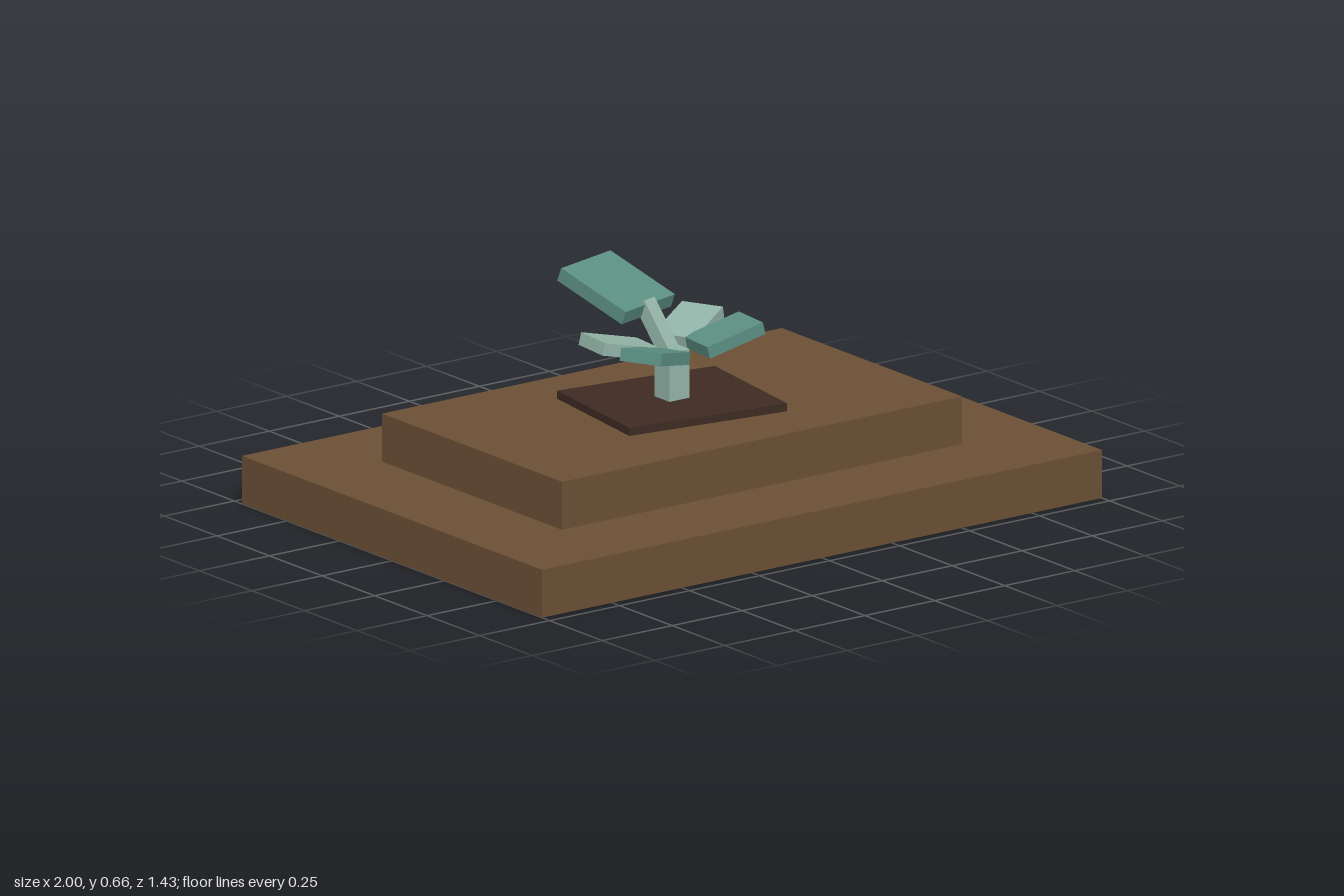
import * as THREE from 'three';

export function createModel() {
  const model = new THREE.Group();
  model.name = 'sproutOnSteppedBase';

  const material = (name, color) => {
    const m = new THREE.MeshStandardMaterial({ color });
    m.name = name;
    return m;
  };
  const wood = material('woodBrown', 0x6b4f35);
  const soil = material('darkSoil', 0x3e2a23);
  const darkLeaf = material('darkLeafGreen', 0x5b8e81);
  const paleLeaf = material('paleLeafGreen', 0x93b3a7);

  // Box of size [x, y, z] at a centre, tilted up along its own x and then turned about y (degrees)
  const box = (name, mat, size, centre, yaw = 0, tilt = 0) => {
    const mesh = new THREE.Mesh(new THREE.BoxGeometry(...size), mat);
    mesh.name = name;
    mesh.position.set(...centre);
    mesh.rotation.set(0, THREE.MathUtils.degToRad(yaw), THREE.MathUtils.degToRad(tilt), 'YZX');
    model.add(mesh);
  };

  // Stepped base and slightly turned soil patch
  box('lowerStep', wood, [2, 0.143, 1.428], [0, 0.0715, 0]);
  box('upperStep', wood, [1.428, 0.143, 0.856], [0, 0.2145, 0]);
  box('soilPatch', soil, [0.514, 0.024, 0.428], [0, 0.298, 0], -8);

  // Stem and the slanted stalk of the top leaf
  box('stem', paleLeaf, [0.072, 0.145, 0.072], [0, 0.3825, 0]);
  box('topStalk', paleLeaf, [0.16, 0.042, 0.048], [-0.014, 0.51, -0.053], 105, 56);
  box('topLeaf', darkLeaf, [0.25, 0.042, 0.228], [-0.052, 0.599, -0.197], 105, 20.6);

  // Two opposite pairs of low leaves, each pair repeated by a half turn
  for (const [side, s, turn] of [['left', 1, 0], ['right', -1, 180]]) {
    const frontPair = s > 0;
    box(side + 'LeafA', frontPair ? darkLeaf : paleLeaf, [0.192, 0.037, 0.13],
      [0.154 * s, 0.477, 0.044 * s], -5 + turn, 13.5);
    box(side + 'LeafB', frontPair ? paleLeaf : darkLeaf, [0.192, 0.037, 0.13],
      [0.132 * s, 0.477, -0.096 * s], 27 + turn, 13.5);
  }

  return model;
}
